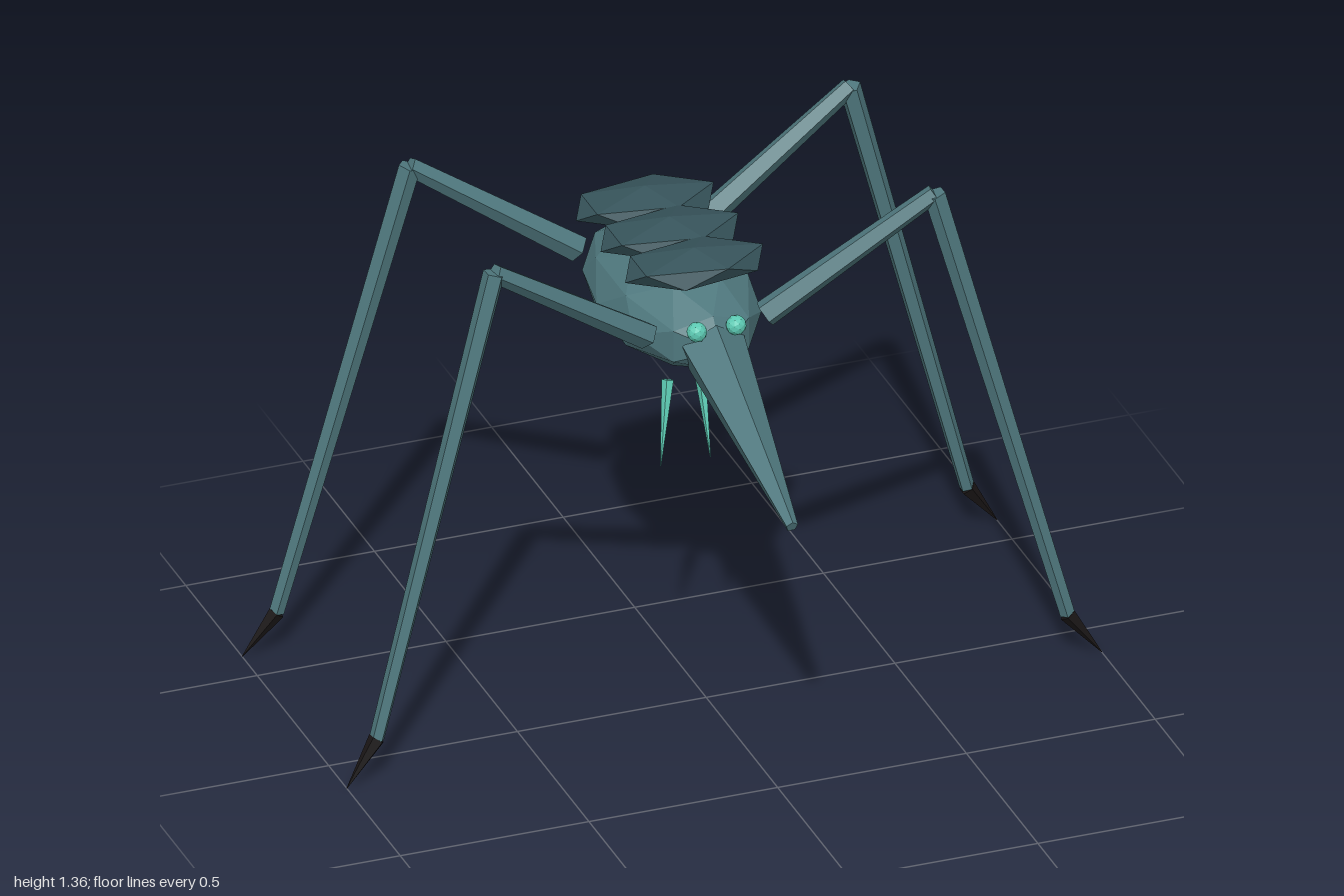
import * as THREE from 'three';

const mat = (name, color) => {
  const m = new THREE.MeshStandardMaterial({ color, flatShading: true });
  m.name = name;
  return m;
};

export function createModel() {
  const group = new THREE.Group();
  const teal = mat('slate teal', 0x4f787e);
  const dark = mat('dark shell', 0x36535a);
  const mint = mat('bright mint', 0x5cc9b2);
  const black = mat('claw black', 0x1a1616);

  const add = (parent, name, geometry, material) => {
    const mesh = new THREE.Mesh(geometry, material);
    mesh.name = name;
    parent.add(mesh);
    return mesh;
  };

  // Tapered faceted rod running from point a to point b
  const rod = (parent, name, a, b, ra, rb, material, sides = 5, turn = 0) => {
    const from = new THREE.Vector3(...a), to = new THREE.Vector3(...b);
    const dir = to.clone().sub(from);
    const geo = new THREE.CylinderGeometry(rb, ra, dir.length(), sides, 1, false, turn);
    const mesh = add(parent, name, geo, material);
    mesh.position.copy(from).add(to).multiplyScalar(0.5);
    mesh.quaternion.setFromUnitVectors(new THREE.Vector3(0, 1, 0), dir.normalize());
    return mesh;
  };

  // Faceted ellipsoid body
  const body = add(group, 'body', new THREE.IcosahedronGeometry(1, 1), teal);
  body.scale.set(0.2, 0.14, 0.34);
  body.position.set(0, 1.025, -0.24);

  // Long beak with its ridge on top
  rod(group, 'beak', [0, 1.005, 0.04], [0, 0.785, 0.6], 0.086, 0.016, teal, 5, Math.PI);

  // Overlapping back plates: flattened icosahedra standing on a corner
  for (let i = 0; i < 3; i++) {
    const geo = new THREE.IcosahedronGeometry(1, 0);
    geo.rotateZ(-Math.atan(2 / (1 + Math.sqrt(5))));
    geo.scale(0.204, 0.045, 0.108);
    add(group, 'backPlate', geo, dark).position.set(0, 1.18, -0.085 - 0.172 * i);
  }

  // Eyes
  for (const s of [-1, 1]) {
    add(group, 'eye', new THREE.IcosahedronGeometry(0.026, 1), mint)
      .position.set(s * 0.052, 1.076, 0.072);
  }

  // Hanging needles under the body
  for (const s of [-1, 0, 1]) {
    rod(group, 'needle', [s * 0.087, 0.893, -0.038], [s * 0.132, 0.692, 0.03], 0.016, 0.001, mint);
  }

  // Legs: [hip z, knee z, ankle z, claw tip z]
  const legs = {
    frontLeg: [0.0, 0.058, 0.113, 0.127],
    backLeg: [-0.485, -0.536, -0.591, -0.605],
  };
  for (const [name, [hz, kz, az, tz]] of Object.entries(legs)) {
    for (const s of [-1, 1]) {
      const leg = new THREE.Group();
      leg.name = name;
      const hip = [s * 0.155, 1.05, hz], knee = [s * 0.583, 1.338, kz];
      const ankle = [s * 0.915, 0.117, az], tip = [s, 0, tz];
      rod(leg, 'upperLeg', hip, knee, 0.036, 0.025, teal);
      rod(leg, 'lowerLeg', knee, ankle, 0.029, 0.02, teal);
      rod(leg, 'claw', ankle, tip, 0.022, 0.001, black);
      group.add(leg);
    }
  }

  return group;
}
